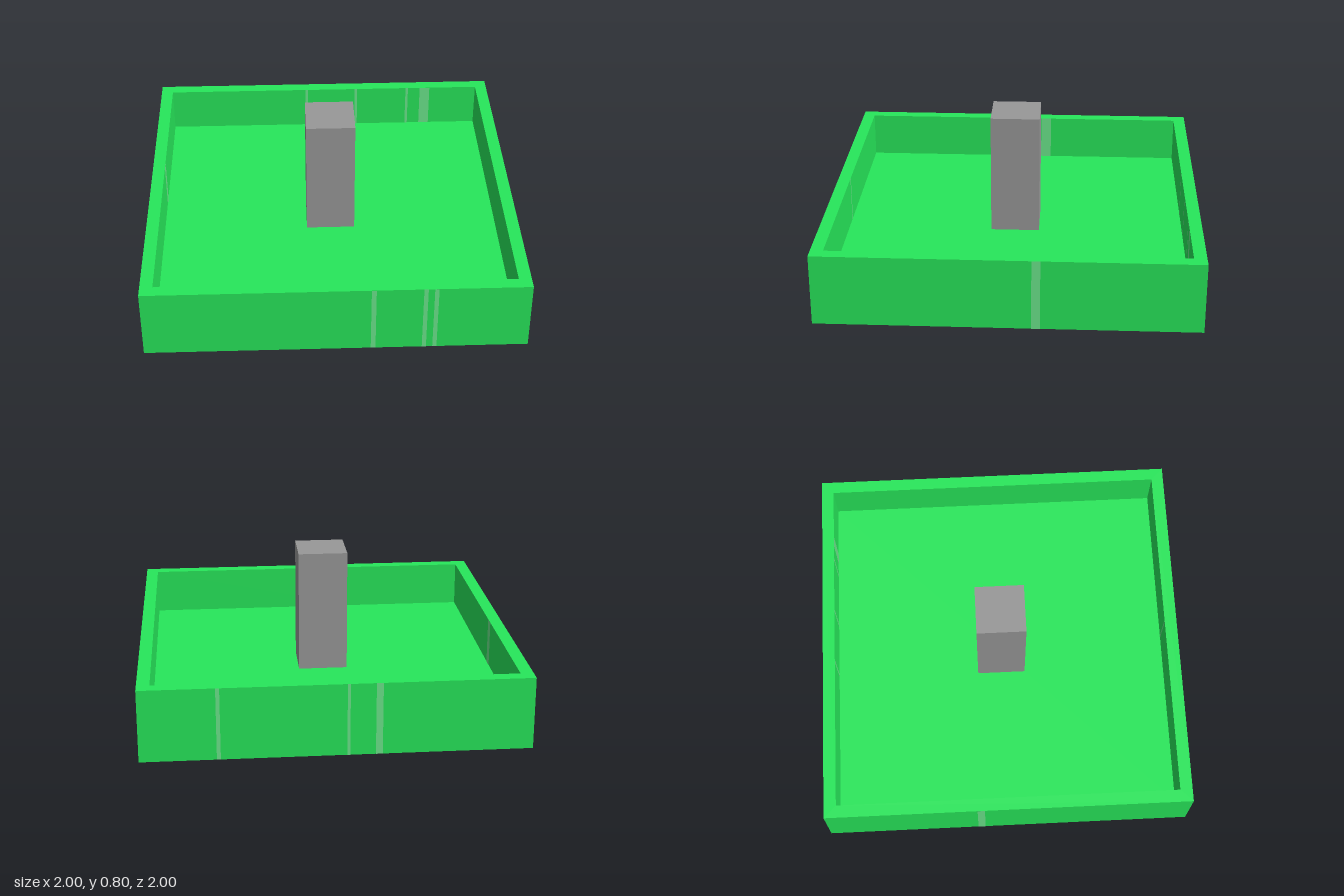
import * as THREE from 'three';

export function createModel() {
  const model = new THREE.Group();
  const green = new THREE.MeshStandardMaterial({ color: 0x27e75a });
  green.name = 'green';
  const grey = new THREE.MeshStandardMaterial({ color: 0x989898 });
  grey.name = 'grey';
  const paleGreen = new THREE.MeshStandardMaterial({ color: 0x6ce68c });
  paleGreen.name = 'paleGreen';

  const add = (parent, name, geometry, material, x = 0, y = 0, z = 0) => {
    const mesh = new THREE.Mesh(geometry, material);
    mesh.name = name;
    mesh.position.set(x, y, z);
    parent.add(mesh);
    return mesh;
  };

  const RIM = 0.385, FLOOR = 0.133, INNER = 0.933, TOP = 0.8, PILLAR = 0.267;
  const LIFT = 0.001; // how far painted streaks stand off their wall

  // Square tray walls with an open middle
  const outline = new THREE.Shape([[-1, -1], [1, -1], [1, 1], [-1, 1]].map(p => new THREE.Vector2(...p)));
  outline.holes.push(new THREE.Path(
    [[-1, -1], [-1, 1], [1, 1], [1, -1]].map(([x, y]) => new THREE.Vector2(x * INNER, y * INNER))));
  const walls = new THREE.ExtrudeGeometry(outline, { depth: RIM, bevelEnabled: false });
  walls.rotateX(-Math.PI / 2);
  add(model, 'trayWalls', walls, green);

  // Raised floor inside the walls
  add(model, 'trayFloor', new THREE.BoxGeometry(2 * INNER, FLOOR, 2 * INNER), green, 0, FLOOR / 2, 0);

  // Central square pillar
  add(model, 'pillar', new THREE.BoxGeometry(PILLAR, TOP - FLOOR, PILLAR), grey, 0, (TOP + FLOOR) / 2, 0);

  // Pale upright streaks: [facing angle, distance from centre, bottom, [[position, width], ...]]
  const streaks = new THREE.Group();
  streaks.name = 'wallStreaks';
  model.add(streaks);
  const H = Math.PI / 2;
  const rows = [
    [0, 1, 0, [[0.19, 0.025], [0.455, 0.022], [0.51, 0.022]]],
    [H, 1, 0, [[-0.145, 0.045]]],
    [2 * H, 1, 0, [[-0.21, 0.035], [-0.055, 0.015], [0.6, 0.02]]],
    [3 * H, 1, 0, [[-0.15, 0.04]]],
    [0, -INNER, FLOOR, [[-0.11, 0.015], [0.195, 0.015], [0.51, 0.015], [0.62, 0.06]]],
    [H, -INNER, FLOOR, [[-0.143, 0.06]]],
    [2 * H, -INNER, FLOOR, [[0.04, 0.015]]],
  ];
  for (const [angle, distance, bottom, marks] of rows) {
    const alongX = Math.abs(Math.sin(angle)) < 0.5;
    const out = distance + LIFT;
    for (const [at, width] of marks) {
      const x = alongX ? at : Math.sin(angle) * out;
      const z = alongX ? Math.cos(angle) * out : at;
      add(streaks, 'wallStreak', new THREE.PlaneGeometry(width, RIM - bottom), paleGreen,
        x, (RIM + bottom) / 2, z).rotation.y = angle;
    }
  }

  return model;
}
